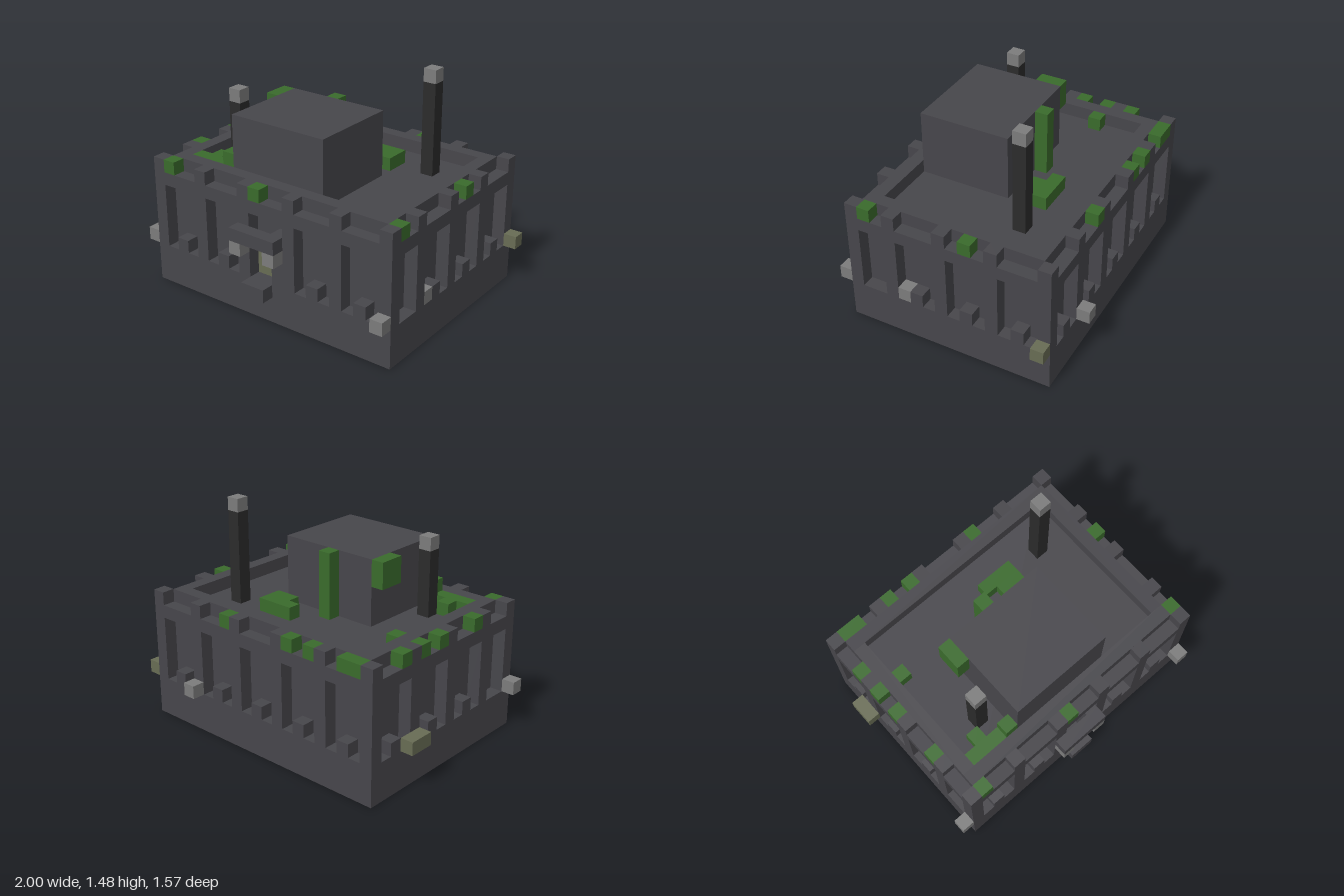
import * as THREE from 'three';

const U = 2 / 23; // size of one building block

export function createModel() {
  const group = new THREE.Group();
  const material = (name, color) => {
    const m = new THREE.MeshStandardMaterial({ color });
    m.name = name;
    return m;
  };
  const stone = material('dark stone', 0x47464b);
  const soot = material('chimney black', 0x2b2b2b);
  const moss = material('moss green', 0x3a6b2c);
  const metal = material('lamp grey', 0x7c7c7c);
  const olive = material('dull olive', 0x686c54);

  // Box between block-grid limits: x 0..23, y 0..17, z 0..18
  const block = (name, mat, x0, x1, y0, y1, z0, z1) => {
    const mesh = new THREE.Mesh(
      new THREE.BoxGeometry((x1 - x0) * U, (y1 - y0) * U, (z1 - z0) * U), mat);
    mesh.position.set(((x0 + x1) / 2 - 11.5) * U, (y0 + y1) / 2 * U, ((z0 + z1) / 2 - 9) * U);
    mesh.name = name;
    group.add(mesh);
    return mesh;
  };

  // Main body: foundation, recessed core, band over the windows
  block('foundation', stone, 1, 22, 0, 3, 1, 17);
  block('core', stone, 2, 21, 3, 8, 2, 16);
  block('roofSlab', stone, 1, 22, 8, 9, 1, 17);

  // Parapet ring behind the notches
  for (const z of [2, 15]) block('parapet', stone, 2, 21, 9, 10, z, z + 1);
  for (const x of [2, 20]) block('parapet', stone, x, x + 1, 9, 10, 3, 15);

  // Piers and merlons between the windows, with sill blocks in them
  for (const z of [1, 16]) {
    for (const x of [1, 5, 9, 13, 17, 21]) {
      block('pier', stone, x, x + 1, 3, 8, z, z + 1);
      block('merlon', stone, x, x + 1, 9, 10, z, z + 1);
    }
    for (const x of [3, 7, 11, 15, 19]) {
      if (z === 16 && x === 11) continue; // the doorway is here
      block('sillBlock', stone, x, x + 1, 3, 4, z, z + 1);
    }
  }
  for (const x of [1, 21]) {
    for (const z of [5, 9, 13]) {
      block('pier', stone, x, x + 1, 3, 8, z, z + 1);
      block('merlon', stone, x, x + 1, 9, 10, z, z + 1);
    }
    for (const z of [3, 7, 11]) block('sillBlock', stone, x, x + 1, 3, 4, z, z + 1);
  }

  // Entrance
  block('doorJamb', stone, 12, 13, 3, 7, 16, 17);
  block('door', olive, 10, 12, 3, 5, 16, 16.06);
  block('doorStep', stone, 10, 12, 2, 3, 17, 18);
  block('awning', stone, 9, 13, 6, 7, 17, 18);
  for (const x of [9, 12]) block('doorLamp', metal, x, x + 1, 5, 6, 17, 18);

  // Roof house and chimneys
  block('roofHouse', stone, 7, 15, 9, 14, 8, 15);
  for (const [x, z, top] of [[17, 5, 16], [5, 12, 14]]) {
    block('chimney', soot, x, x + 1, 9, top, z, z + 1);
    block('chimneyCap', metal, x, x + 1, top, top + 1, z, z + 1);
  }

  // Wall lamps and vents
  for (const [x, z] of [[0, 16], [21, 17], [17, 0], [21, 12]]) {
    block('wallLamp', metal, x, x + 1, 3, 4, z, z + 1);
  }
  block('vent', olive, 22, 23, 3, 4, 1, 2);
  block('vent', olive, 0, 1, 3, 4, 4, 6);

  // Moss in the parapet notches: x0, x1, z0, z1
  const notchMoss = [
    [2, 3, 16, 17], [10, 11, 16, 17],
    [2, 4, 1, 2], [6, 7, 1, 2], [8, 9, 1, 2], [14, 15, 1, 2],
    [1, 2, 4, 5], [1, 2, 6, 7], [1, 2, 8, 9], [1, 2, 12, 13],
    [21, 22, 7, 8], [21, 22, 15, 16],
  ];
  for (const [x0, x1, z0, z1] of notchMoss) block('notchMoss', moss, x0, x1, 9, 10, z0, z1);

  // Moss on the roof floor
  const roofMoss = [[3, 6, 14, 15], [4, 5, 13, 14], [3, 4, 6, 7], [12, 15, 5, 6], [13, 15, 6, 7]];
  for (const [x0, x1, z0, z1] of roofMoss) block('roofMoss', moss, x0, x1, 9, 10, z0, z1);

  // Moss climbing the roof house
  block('houseMoss', moss, 6, 7, 9, 11, 14, 15);
  block('houseMoss', moss, 6, 7, 12, 14, 8, 10);
  block('houseMoss', moss, 10, 11, 9, 14, 7, 8);

  return group;
}
